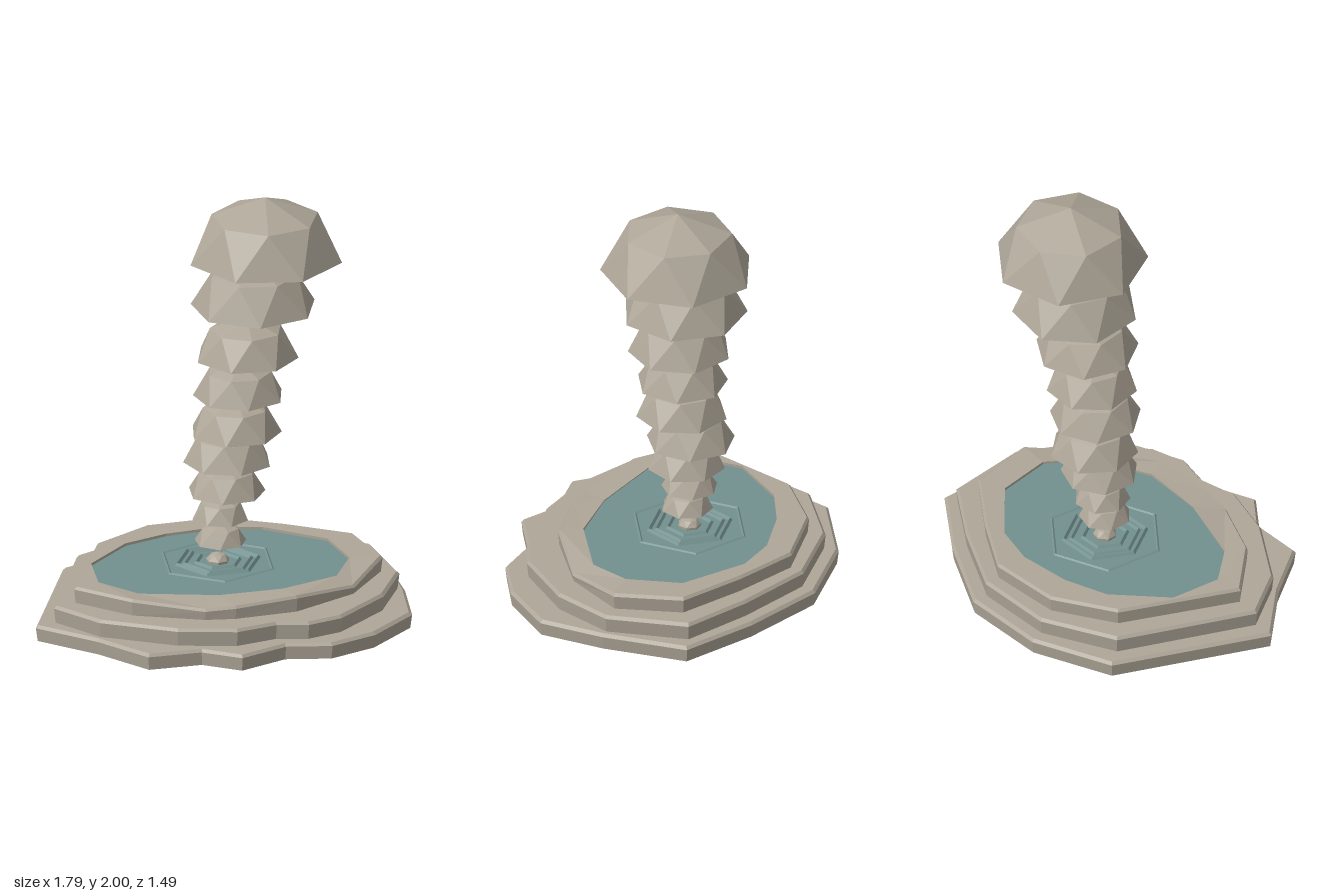
import * as THREE from 'three';

const stone = new THREE.MeshStandardMaterial({ color: 0xaea698 });
stone.name = 'stone';
const water = new THREE.MeshStandardMaterial({ color: 0x73918f });
water.name = 'water';

// Faceted skin through rings of equal point count, listed from bottom to top
function loft(rings) {
  const pos = [];
  const tri = (a, b, c) => {
    const area = b.clone().sub(a).cross(c.clone().sub(a)).length();
    if (area > 1e-7) for (const p of [a, b, c]) pos.push(p.x, p.y, p.z);
  };
  for (let k = 0; k + 1 < rings.length; k++) {
    const a = rings[k], b = rings[k + 1], n = a.length;
    for (let i = 0; i < n; i++) {
      const j = (i + 1) % n;
      tri(a[i], b[i], a[j]);
      tri(a[j], b[i], b[j]);
    }
  }
  const geo = new THREE.BufferGeometry();
  geo.setAttribute('position', new THREE.Float32BufferAttribute(pos, 3));
  geo.computeVertexNormals();
  return geo;
}

// Ring from an outline of [x, z, dip]
const ring = (pts, y, scale = 1, dips = 0) =>
  pts.map(([x, z, dip = 0]) => new THREE.Vector3(x * scale, y - dip * dips, z * scale));

// Regular ring around a centre
function circle(n, cx, y, cz, r, phase) {
  return Array.from({ length: n }, (_, i) => {
    const t = phase + (i / n) * Math.PI * 2;
    return new THREE.Vector3(cx + r * Math.cos(t), y, cz + r * Math.sin(t));
  });
}

const lowerOutline = [[-0.9, 0.1], [-0.57, -0.6], [-0.19, -0.75], [0.22, -0.745], [0.59, -0.54],
  [0.895, -0.31], [0.875, 0.1], [0.82, 0.41], [0.585, 0.615], [0.355, 0.7], [0.145, 0.65],
  [-0.09, 0.74], [-0.25, 0.615], [-0.505, 0.61], [-0.675, 0.35]];
const middleOutline = [[-0.81, 0.09], [-0.525, -0.525], [-0.18, -0.69], [0.2, -0.685], [0.54, -0.5],
  [0.825, -0.3], [0.85, 0.09], [0.7, 0.355], [0.435, 0.575], [0.265, 0.62], [0.12, 0.58],
  [-0.08, 0.62], [-0.345, 0.54], [-0.66, 0.33]];
const upperOutline = [[-0.71, 0.08], [-0.45, -0.45], [-0.165, -0.615], [0.185, -0.625], [0.46, -0.455],
  [0.73, -0.25], [0.775, 0.07], [0.57, 0.32, 0.035], [0.25, 0.475], [-0.05, 0.49, 0.015],
  [-0.19, 0.465, 0.025], [-0.5, 0.315]];
const poolOutline = [[-0.55, -0.195], [-0.325, -0.405], [-0.11, -0.475], [0.145, -0.495], [0.34, -0.44],
  [0.59, -0.21], [0.62, 0.055], [0.505, 0.24, 0.012], [0.21, 0.365], [-0.09, 0.345, 0.008],
  [-0.44, 0.225, 0.008], [-0.585, 0.05]];

// Stacked shells: centre x, rim y, centre z, rim radius
const shells = [
  [0.04, 0.33, -0.085, 0.122], [0.045, 0.44, -0.1, 0.132], [0.07, 0.57, -0.09, 0.182],
  [0.085, 0.71, -0.115, 0.208], [0.11, 0.865, -0.08, 0.215], [0.13, 1.04, -0.085, 0.214],
  [0.165, 1.23, -0.085, 0.242], [0.21, 1.46, -0.115, 0.295], [0.26, 1.7, -0.1, 0.36],
];

export function createModel() {
  const model = new THREE.Group();
  model.name = 'fountain';
  const add = (name, geo, mat) => {
    const mesh = new THREE.Mesh(geo, mat);
    mesh.name = name;
    model.add(mesh);
    return mesh;
  };

  // Chamfered stone steps
  [['lowerStep', lowerOutline, 0, 0.078], ['middleStep', middleOutline, 0.078, 0.162]]
    .forEach(([name, pts, y0, y1]) => add(name, loft([
      ring(pts, y0, 0), ring(pts, y0, 0.99), ring(pts, y1 - 0.014),
      ring(pts, y1, 0.983), ring(pts, y1, 0)]), stone));

  // Upper step with the basin opening
  add('basin', loft([
    ring(upperOutline, 0.162, 0.99), ring(upperOutline, 0.228, 1, 1),
    ring(upperOutline, 0.241, 0.983, 1), ring(poolOutline, 0.241, 1, 1),
    ring(poolOutline, 0.19)]), stone);

  // Water surface and hexagonal ripples around the nozzle
  add('waterSurface', loft([ring(poolOutline, 0.228), ring(poolOutline, 0.228, 0)]), water);
  [[0.105, 0.012], [0.16, 0.012], [0.195, 0.013], [0.275, 0.006]].forEach(([r, h], i) => {
    const cx = 0.03, cz = -0.095, p = Math.PI / 6 * (i === 3 ? 1.3 : 2);
    add('ripple', loft([
      circle(6, cx, 0.225, cz, r + 0.013, p), circle(6, cx, 0.228 + h, cz, r, p),
      circle(6, cx, 0.225, cz, r - 0.013, p)]), water);
  });

  // Nozzle
  const nozzle = (y, r, p = 0) => circle(7, 0.03, y, -0.095, r, p);
  add('nozzle', loft([nozzle(0.2, 0.05), nozzle(0.24, 0.055),
    nozzle(0.264, 0.035, Math.PI / 7), nozzle(0.275, 0, Math.PI / 7)]), stone);

  // Leaning column of faceted shells, each with a shallow cone beneath
  const half = Math.PI / 7;
  shells.forEach(([x, y, z, r], i) => {
    const phase = half + (shells.length - 1 - i) * 0.4;
    const rim = circle(7, x, y, z, r, phase);
    add('shell', loft([rim,
      circle(7, x, y + r * 0.56, z, r * 0.7, phase + half),
      circle(7, x, y + r * 0.833, z, 0, phase + half)]), stone);
    add('shellUnderside', loft([circle(7, x, y - r * 0.23, z, 0, phase), rim]),
      i === 0 ? water : stone);
  });

  return model;
}
